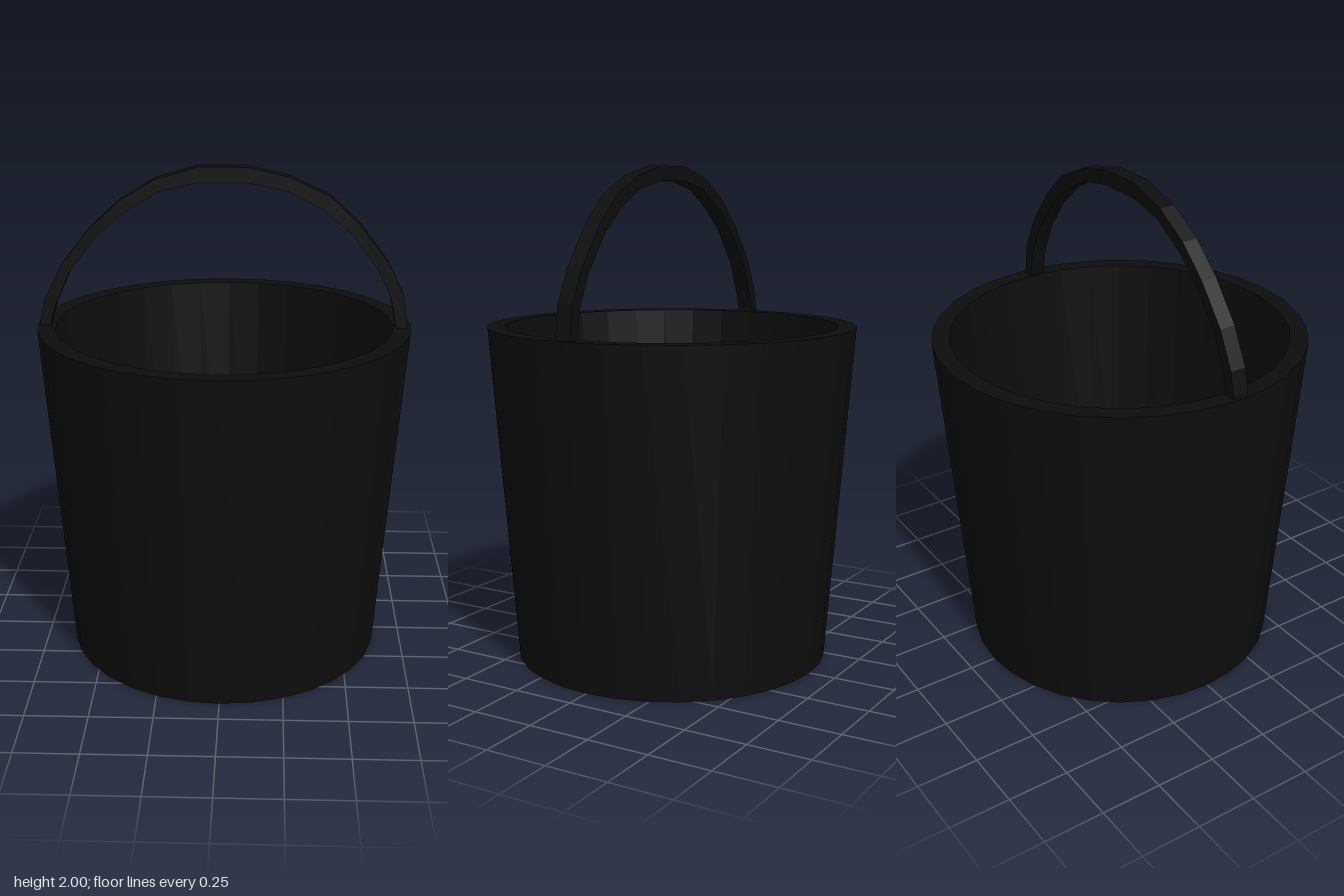
import * as THREE from 'three';

const black = new THREE.MeshStandardMaterial({ color: 0x0d0d0d, flatShading: true });
black.name = 'black';

export function createModel() {
  const model = new THREE.Group();
  model.name = 'bucket';

  // Tapered body: underside, outer wall, flat rim, inner wall and floor
  const profile = [
    [0, 0], [0.64, 0], [0.747, 1.365], [0.676, 1.365], [0.61, 0.06], [0, 0.06],
  ].map(([r, y]) => new THREE.Vector2(r, y));
  const body = new THREE.Mesh(new THREE.LatheGeometry(profile, 32), black);
  body.name = 'bucketBody';
  model.add(body);

  // Carrying handle: a flat faceted arch, sunk into the rim at both ends
  const outer = [
    [-0.74, 1.33], [-0.735, 1.38], [-0.715, 1.47], [-0.645, 1.61], [-0.53, 1.755], [-0.41, 1.865],
    [-0.27, 1.95], [-0.1, 2], [0.09, 2], [0.26, 1.96], [0.41, 1.89], [0.53, 1.78],
    [0.645, 1.63], [0.71, 1.5], [0.73, 1.36], [0.73, 1.33],
  ];
  const inner = [
    [0.685, 1.33], [0.685, 1.36], [0.66, 1.485], [0.6, 1.61], [0.495, 1.745], [0.38, 1.84],
    [0.245, 1.91], [0.09, 1.94], [-0.1, 1.94], [-0.25, 1.905], [-0.39, 1.82], [-0.5, 1.725],
    [-0.61, 1.585], [-0.67, 1.45], [-0.69, 1.38], [-0.69, 1.33],
  ];
  const arch = new THREE.Shape([...outer, ...inner].map(([x, y]) => new THREE.Vector2(x, y)));
  const handle = new THREE.Mesh(
    new THREE.ExtrudeGeometry(arch, { depth: 0.065, bevelEnabled: false }), black);
  handle.position.z = -0.006;
  handle.name = 'handle';
  model.add(handle);

  return model;
}
